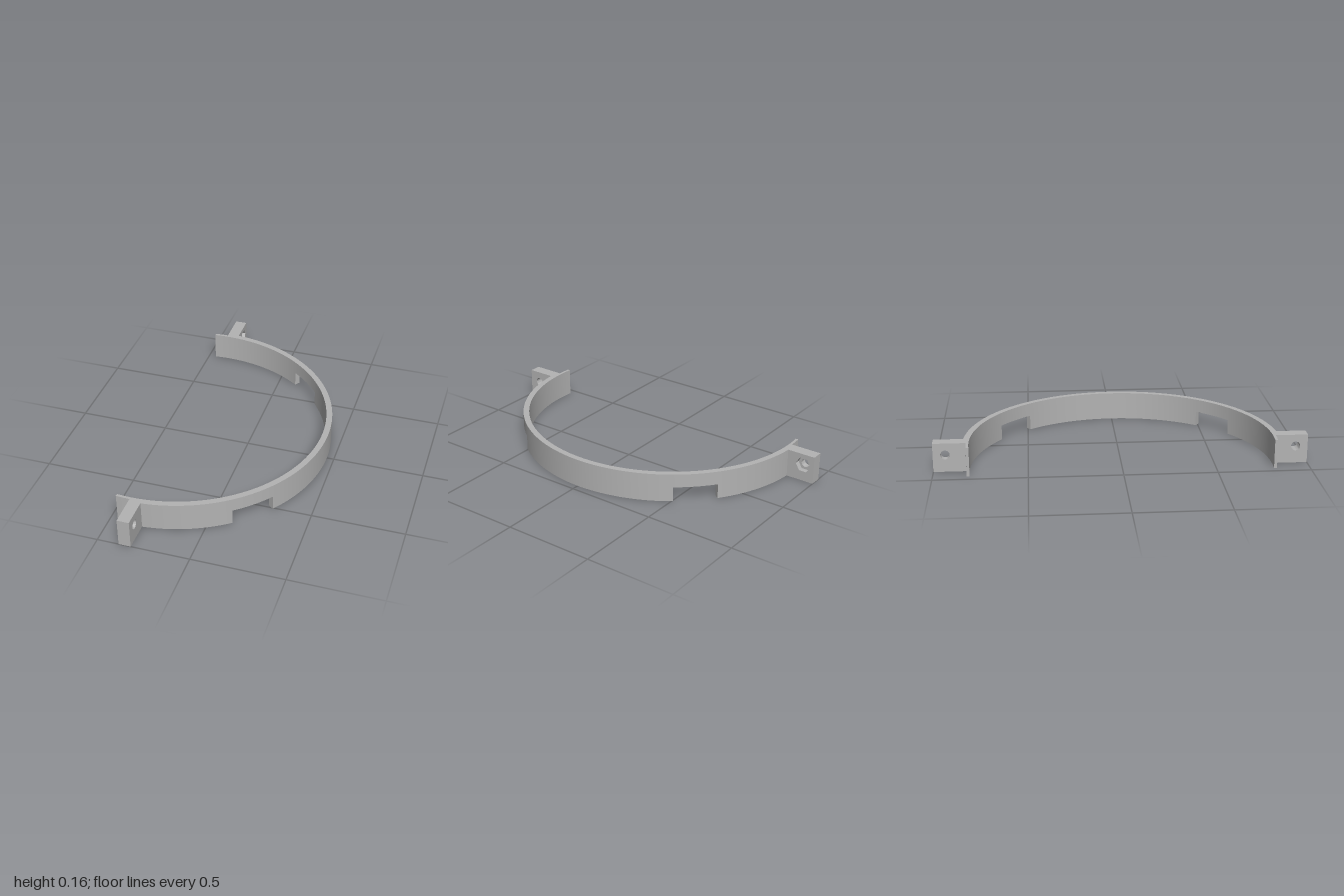
import * as THREE from 'three';
import { toCreasedNormals } from 'three/addons/utils/BufferGeometryUtils.js';

const H = 0.158, CX = -0.383;           // band height, ring centre
const R_IN = 0.81, R_LIP = 0.825, R_OUT = 0.843;
const NOTCH_TOP = 0.083;
const rad = THREE.MathUtils.degToRad;

export function createModel() {
  const group = new THREE.Group();
  const grey = new THREE.MeshStandardMaterial({ color: 0xb3b3b3 });

  const add = (name, geometry) => {
    const mesh = new THREE.Mesh(toCreasedNormals(geometry, rad(25)), grey);
    mesh.name = name;
    group.add(mesh);
  };

  // Upright curved wall between two angles (0 = +x, positive towards -z)
  const arcWall = (name, from, to, rOut, y0 = 0) => {
    const shape = new THREE.Shape();
    shape.absarc(0, 0, rOut, rad(from), rad(to), false);
    shape.absarc(0, 0, R_IN, rad(to), rad(from), true);
    shape.closePath();
    const geometry = new THREE.ExtrudeGeometry(shape, {
      depth: H - y0, bevelEnabled: false, curveSegments: Math.max(4, Math.ceil((to - from) / 2)),
    });
    geometry.rotateX(-Math.PI / 2).translate(CX, y0, 0);
    add(name, geometry);
  };

  // Half-ring band with two radial notches in its lower edge
  arcWall('bandMiddle', -36.9, 36.9, R_OUT);
  for (const [side, s] of [['Front', -1], ['Back', 1]]) {
    const span = (name, a, b, r, y0) =>
      arcWall(name + side, Math.min(s * a, s * b), Math.max(s * a, s * b), r, y0);
    span('notchBridge', 36.9, 53.2, R_OUT, NOTCH_TOP);
    span('bandEnd', 53.2, 90, R_OUT);
    span('thinLip', 90, 95.36, R_LIP);
  }

  // Slice of a mounting tab: a plate facing x, with a hole of the given sides
  const tabSlice = (name, s, xFront, depth, holeRadius, sides) => {
    const z0 = s > 0 ? 0.822 : -1, z1 = s > 0 ? 1 : -0.822;
    const shape = new THREE.Shape([
      new THREE.Vector2(z0, 0), new THREE.Vector2(z1, 0),
      new THREE.Vector2(z1, H), new THREE.Vector2(z0, H),
    ]);
    const points = [];
    for (let i = 0; i < sides; i++) {
      const a = (i / sides) * Math.PI * 2;
      points.push(new THREE.Vector2(s * 0.935 + holeRadius * Math.cos(a), 0.094 + holeRadius * Math.sin(a)));
    }
    shape.holes.push(new THREE.Path(points));
    const geometry = new THREE.ExtrudeGeometry(shape, { depth, bevelEnabled: false });
    geometry.rotateY(-Math.PI / 2).translate(xFront, 0, 0);
    add(name, geometry);
  };

  // Front tab with a plain bolt hole, back tab with a hexagonal nut pocket
  const X = -0.317, T = 0.066, POCKET = 0.03;
  tabSlice('frontTab', 1, X, T, 0.025, 32);
  tabSlice('backTabNutPocket', -1, X, POCKET, 0.044, 6);
  tabSlice('backTab', -1, X - POCKET, T - POCKET, 0.025, 32);

  return group;
}
